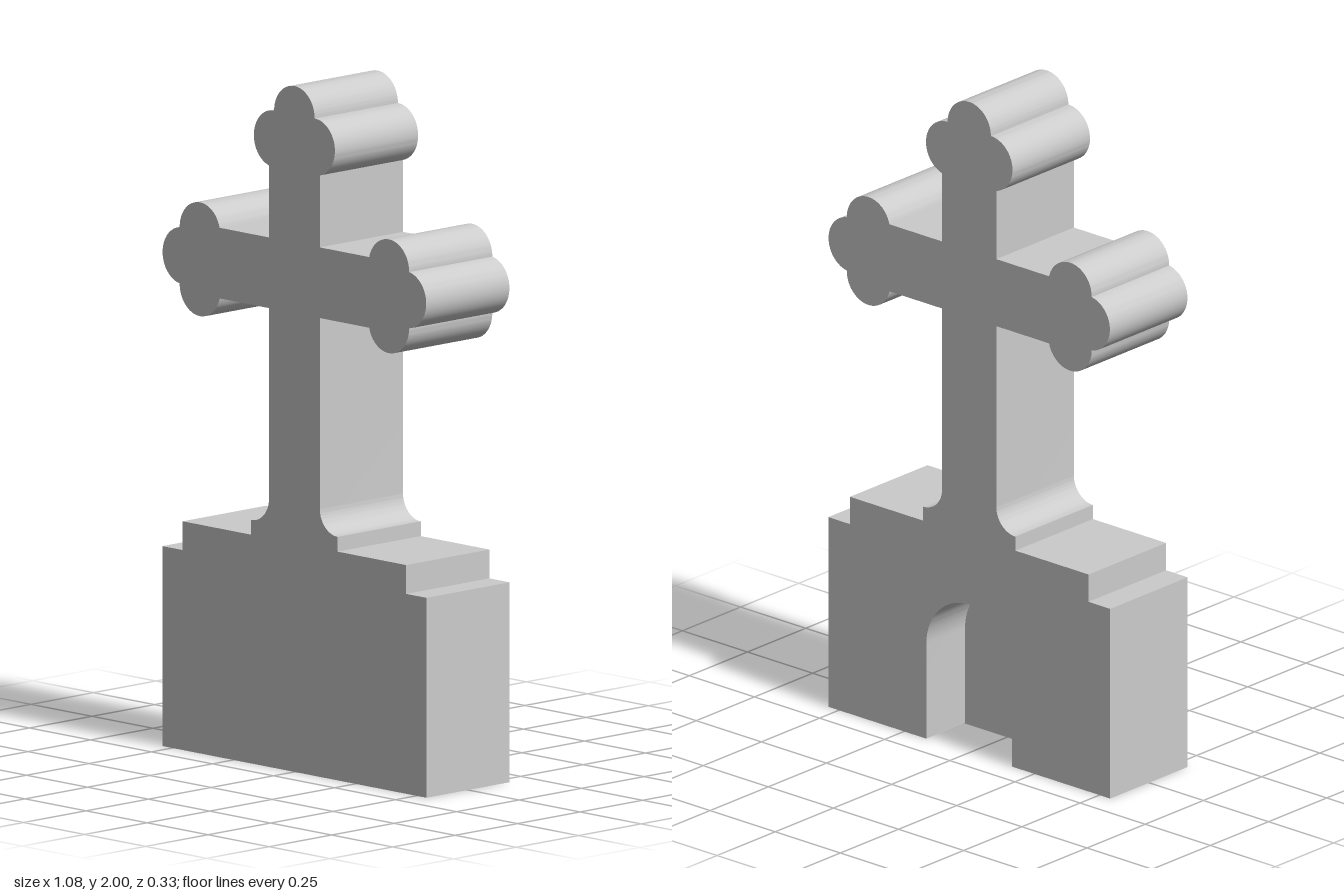
import * as THREE from 'three';
import { toCreasedNormals } from 'three/addons/utils/BufferGeometryUtils.js';

const DEPTH = 0.333;
const LOBE = 0.083; // radius of every trefoil lobe
const rad = THREE.MathUtils.degToRad;

// Mirrors a right-hand outline (bottom to top of the axis) and extrudes it from z0 to z1
function mirroredSlab(name, half, z0, z1, material) {
  const right = half.getPoints(14);
  const left = right
    .filter((p) => p.x > 1e-5)
    .map((p) => new THREE.Vector2(-p.x, p.y))
    .reverse();
  const geometry = new THREE.ExtrudeGeometry(new THREE.Shape([...right, ...left]), {
    depth: z1 - z0,
    bevelEnabled: false,
  });
  geometry.translate(0, 0, z0);
  const mesh = new THREE.Mesh(toCreasedNormals(geometry, rad(30)), material);
  mesh.name = name;
  return mesh;
}

// Right half of the trefoil-ended cross with its flared foot
function crossOutline() {
  const s = new THREE.Path();
  const arc = (x, y, r, from, to, clockwise = false) =>
    s.absarc(x, y, r, rad(from), rad(to), clockwise);
  s.moveTo(0, 0.667);
  s.lineTo(0.177, 0.667);
  s.lineTo(0.177, 0.71);
  arc(0.177, 0.783, 0.073, -90, -180, true); // cove at the foot
  s.lineTo(0.104, 1.338);
  arc(0.387, 1.358, LOBE, 194, 360); // arm: lower, end and upper lobes
  arc(0.457, 1.441, LOBE, -81, 81);
  arc(0.387, 1.524, LOBE, 0, 166);
  s.lineTo(0.104, 1.544);
  arc(0.083, 1.834, LOBE, -75, 90); // head: side and top lobes
  arc(0, 1.917, LOBE, 0, 90);
  return s;
}

// Right half of the stepped plinth, optionally cut by the arched niche
function plinthOutline(withNiche) {
  const s = new THREE.Path();
  if (withNiche) {
    s.moveTo(0, 0.455);
    s.absarc(0, 0.29, 0.165, Math.PI / 2, 0, true);
    s.lineTo(0.165, 0);
  } else {
    s.moveTo(0, 0);
  }
  s.lineTo(0.541, 0);
  s.lineTo(0.541, 0.583);
  s.lineTo(0.458, 0.583);
  s.lineTo(0.458, 0.667);
  s.lineTo(0, 0.667);
  return s;
}

export function createModel() {
  const model = new THREE.Group();
  model.name = 'crossMonument';
  const stone = new THREE.MeshStandardMaterial({ color: 0xcccccc });
  const h = DEPTH / 2;
  model.add(
    mirroredSlab('cross', crossOutline(), -h, h, stone),
    mirroredSlab('plinthFront', plinthOutline(false), 0, h, stone),
    mirroredSlab('plinthBackWithNiche', plinthOutline(true), -h, 0, stone),
  );
  return model;
}
